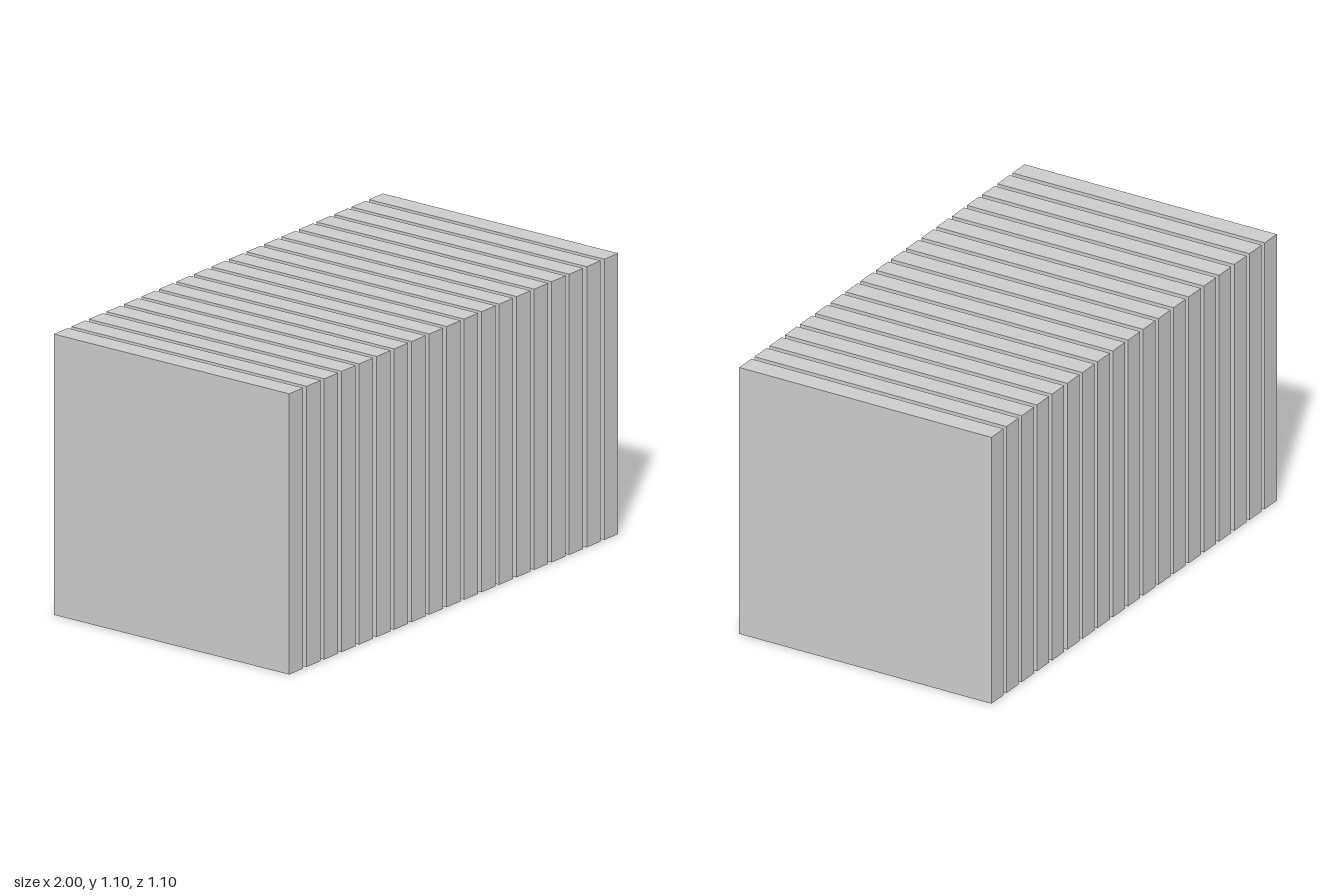
import * as THREE from 'three';

const COUNT = 19;
const THICKNESS = 0.085;
const SIZE = 1.103; // square plate edge
const PITCH = (2 - THICKNESS) / (COUNT - 1);

export function createModel() {
  const model = new THREE.Group();
  model.name = 'plateStack';

  const material = new THREE.MeshStandardMaterial({ color: 0xcccccc });
  const geometry = new THREE.BoxGeometry(THICKNESS, SIZE, SIZE);

  // Row of separate square plates, evenly spaced along x
  for (let i = 0; i < COUNT; i++) {
    const plate = new THREE.Mesh(geometry, material);
    plate.name = `plate${i + 1}`;
    plate.position.set((i - (COUNT - 1) / 2) * PITCH, SIZE / 2, 0);
    model.add(plate);
  }
  return model;
}
